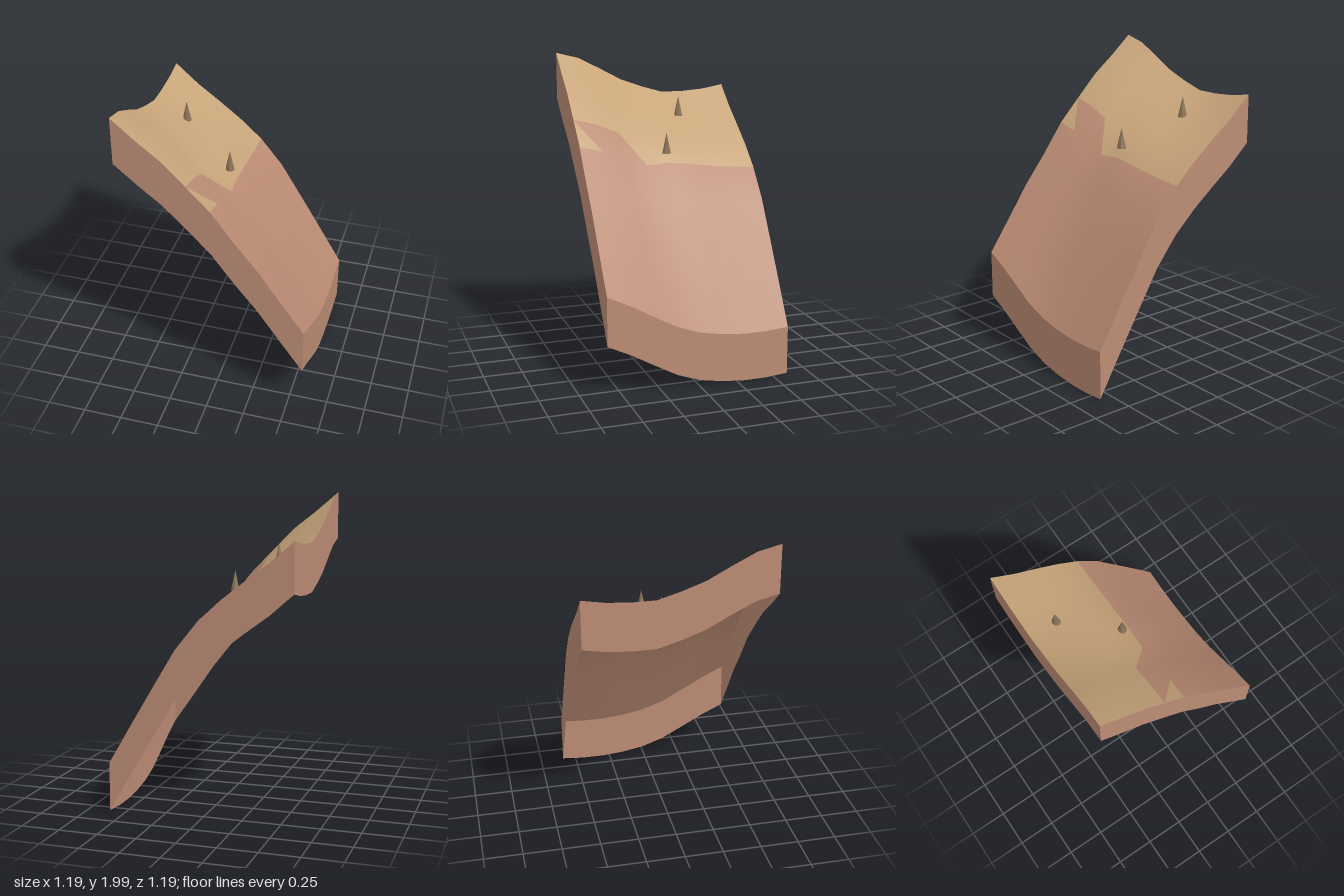
import * as THREE from 'three';

const N = 8, HALF = 0.593, WALL = 0.31;
const at = (i) => -HALF + (2 * HALF * i) / N;

// Height profiles along z (back to front) at the high side, middle and low side
const high = [1.751, 1.725, 1.714, 1.714, 1.757, 1.81, 1.889, 1.963, 2.0];
const mid = [1.26, 1.27, 1.286, 1.307, 1.323, 1.312, 1.365, 1.42, 1.455];
const low = [0.333, 0.32, 0.32, 0.333, 0.36, 0.412, 0.492, 0.575, 0.645];
// Height profiles along x (high to low) at the back and front edges
const back = [1.751, 1.62, 1.51, 1.395, 1.26, 1.077, 0.833, 0.585, 0.333];
const front = [2.0, 1.873, 1.757, 1.608, 1.455, 1.254, 1.069, 0.855, 0.645];

const lerp = THREE.MathUtils.lerp;
const across = (i, j) => (i < 4 ? lerp(high[j], mid[j], i / 4) : lerp(mid[j], low[j], (i - 4) / 4));
// Blend the z profiles, then correct towards the two edge profiles
const height = (i, j) =>
  across(i, j) + lerp(back[i] - across(i, 0), front[i] - across(i, N), j / N);

function build(positions, index) {
  const g = new THREE.BufferGeometry();
  g.setAttribute('position', new THREE.Float32BufferAttribute(positions, 3));
  g.setIndex(index);
  g.computeVertexNormals();
  return g;
}

export function createModel() {
  const group = new THREE.Group();
  const material = (name, color) => {
    const m = new THREE.MeshStandardMaterial({ color });
    m.name = name;
    return m;
  };
  const sand = material('sand', 0xc8a57a);
  const earth = material('earth', 0xbc8c74);
  const spikeBrown = material('spikeBrown', 0x8a7358);
  sand.side = earth.side = THREE.DoubleSide;
  spikeBrown.flatShading = true;

  const add = (name, geometry, mat) => {
    const mesh = new THREE.Mesh(geometry, mat);
    mesh.name = name;
    group.add(mesh);
    return mesh;
  };

  // Ground surface: sand on the high half, earth on the low half and a small patch
  const points = [], sandFaces = [], earthFaces = [];
  for (let j = 0; j <= N; j++)
    for (let i = 0; i <= N; i++) points.push(at(i), height(i, j), at(j));
  for (let j = 0; j < N; j++)
    for (let i = 0; i < N; i++) {
      const a = j * (N + 1) + i, b = a + N + 1, c = b + 1, d = a + 1;
      const firstEarth = i > 3 || (i === 3 && j >= 6);
      const secondEarth = i > 3 || (i === 3 && (j === 5 || j === 6));
      (firstEarth ? earthFaces : sandFaces).push(a, b, d);
      (secondEarth ? earthFaces : sandFaces).push(b, c, d);
    }
  const ground = build(points, [...sandFaces, ...earthFaces]);
  ground.addGroup(0, sandFaces.length, 0);
  ground.addGroup(sandFaces.length, earthFaces.length, 1);
  add('ground', ground, [sand, earth]);

  // Skirt walls hanging from each edge, open underneath
  const edges = {
    frontWall: (k) => [k, N],
    rightHandWall: (k) => [N, N - k],
    backWall: (k) => [N - k, 0],
    leftHandWall: (k) => [0, k],
  };
  for (const [name, edge] of Object.entries(edges)) {
    const pos = [], index = [];
    for (let k = 0; k <= N; k++) {
      const [i, j] = edge(k), y = height(i, j);
      pos.push(at(i), y, at(j), at(i), y - WALL, at(j));
      if (k < N) {
        const a = 2 * k;
        index.push(a, a + 1, a + 2, a + 1, a + 3, a + 2);
      }
    }
    add(name, build(pos, index), earth);
  }

  // Small pointed spikes standing on the sand
  for (const [x, y, z] of [[-0.395, 1.57, -0.2], [-0.05, 1.377, 0]]) {
    const cone = new THREE.ConeGeometry(0.03, 0.135, 8);
    add('spike', cone, spikeBrown).position.set(x, y + 0.0675, z);
  }
  return group;
}
